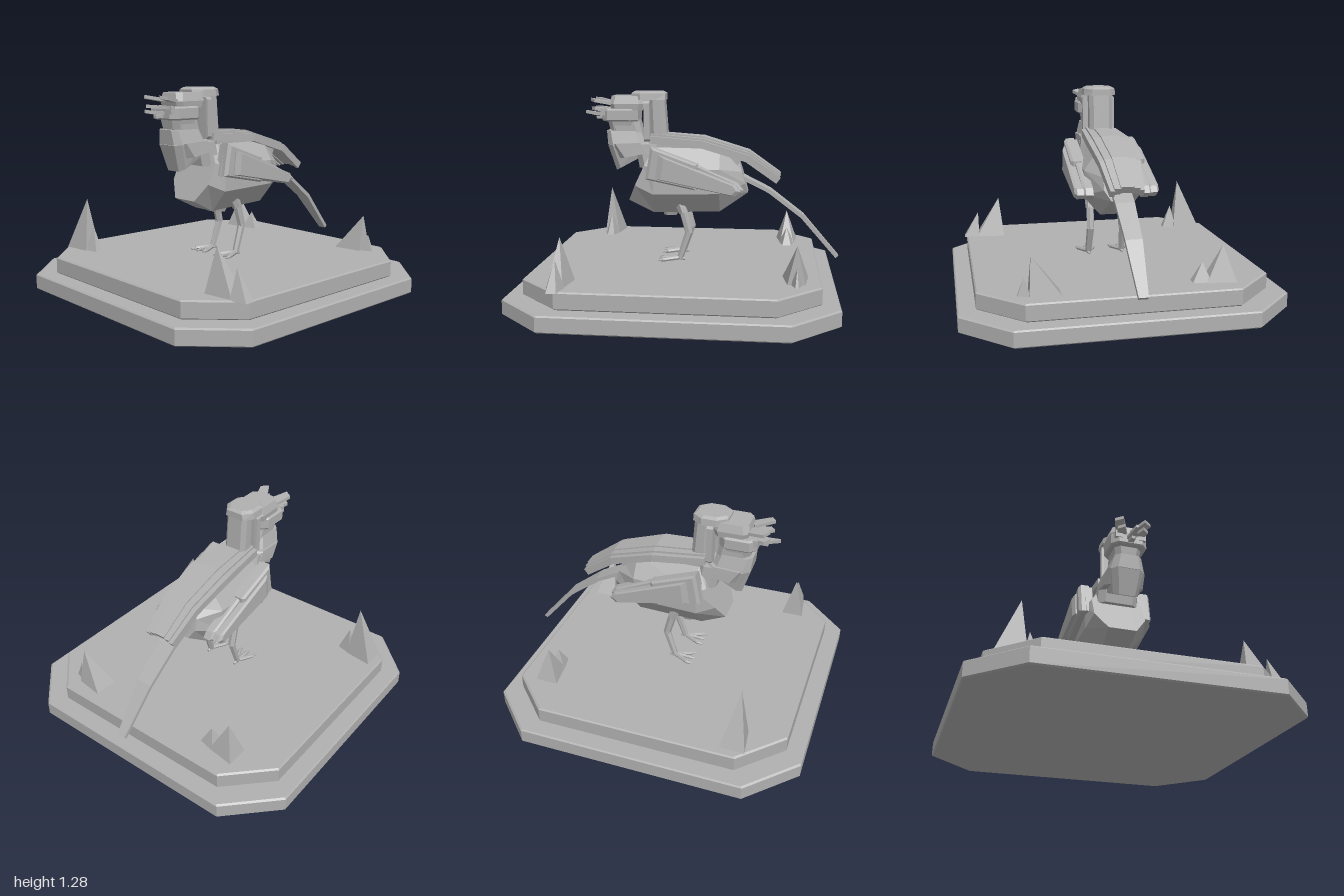
import * as THREE from 'three';

const stone = new THREE.MeshStandardMaterial({ color: 0xb0b0b0 });
stone.name = 'grey stone';

// Closed, faceted solid lofted through rings of [x, y, z] points
function solid(parent, name, rings) {
  const n = rings[0].length, pos = [];
  const V = (p) => new THREE.Vector3(...p);
  const tris = [];
  const add = (a, b, c) => {
    const [A, B, C] = [V(a), V(b), V(c)];
    if (B.clone().sub(A).cross(C.clone().sub(A)).length() > 1e-9) tris.push([A, B, C]);
  };
  for (let i = 0; i < rings.length - 1; i++) {
    for (let j = 0; j < n; j++) {
      const k = (j + 1) % n, r = rings[i], q = rings[i + 1];
      add(r[j], r[k], q[k]);
      add(r[j], q[k], q[j]);
    }
  }
  const end = rings[rings.length - 1];
  for (let j = 1; j < n - 1; j++) {
    add(rings[0][0], rings[0][j + 1], rings[0][j]);
    add(end[0], end[j], end[j + 1]);
  }
  // Turn every face outward, whichever way the rings run
  const o = V(rings[0][0]);
  let vol = 0;
  for (const [a, b, c] of tris) {
    vol += a.clone().sub(o).dot(b.clone().sub(o).cross(c.clone().sub(o)));
  }
  for (const [a, b, c] of tris) {
    for (const p of vol > 0 ? [a, b, c] : [a, c, b]) pos.push(p.x, p.y, p.z);
  }
  const g = new THREE.BufferGeometry();
  g.setAttribute('position', new THREE.Float32BufferAttribute(pos, 3));
  g.computeVertexNormals();
  const m = new THREE.Mesh(g, stone);
  m.name = name;
  parent.add(m);
  return m;
}

// Horizontal ring with cut corners; tilt raises it along z
function plan(y, w, z0, z1, cx, cz = cx, tilt = 0) {
  const zm = (z0 + z1) / 2;
  return [[w - cx, z1], [w, z1 - cz], [w, z0 + cz], [w - cx, z0],
    [cx - w, z0], [-w, z0 + cz], [-w, z1 - cz], [cx - w, z1]]
    .map(([x, z]) => [x, y + tilt * (z - zm), z]);
}

// Upright eight-sided body section, leaning from zB at the bottom to zT at the top
function section(zT, zB, yT, yB, w, wt, wb) {
  const h = yT - yB;
  return [[wt, 1], [w, 0.7], [w, 0.32], [wb, 0], [-wb, 0], [-w, 0.32], [-w, 0.7], [-wt, 1]]
    .map(([x, t]) => [x, yB + h * t, zB + (zT - zB) * t]);
}

// Flat strip along [z, y, xInner, xOuter] stations, t thick
function strip(parent, name, pts, t) {
  const rings = pts.map(([z, y, x0, x1], i) => {
    const a = pts[Math.max(i - 1, 0)], b = pts[Math.min(i + 1, pts.length - 1)];
    const l = Math.hypot(b[0] - a[0], b[1] - a[1]);
    const nz = (b[1] - a[1]) / l * t / 2, ny = -(b[0] - a[0]) / l * t / 2;
    return [[x0, y + ny, z + nz], [x1, y + ny, z + nz], [x1, y - ny, z - nz], [x0, y - ny, z - nz]];
  });
  return solid(parent, name, rings);
}

// Side outline of [z, y] points extruded in x, with a bevelled outer face
function slab(parent, name, outline, x0, x1, bevel, s) {
  const c = outline.reduce((a, p) => [a[0] + p[0] / outline.length, a[1] + p[1] / outline.length], [0, 0]);
  const ring = (x, k) => outline.map(([z, y]) => [s * x, c[1] + (y - c[1]) * k, c[0] + (z - c[0]) * k]);
  return solid(parent, name, [ring(x0, 1), ring(x1 - bevel, 1), ring(x1, 0.88)]);
}

// Six-sided limb through [x, y, z, radius] joints
function limb(parent, name, joints) {
  for (let i = 0; i < joints.length - 1; i++) {
    const a = new THREE.Vector3(...joints[i].slice(0, 3));
    const b = new THREE.Vector3(...joints[i + 1].slice(0, 3));
    const g = new THREE.CylinderGeometry(joints[i + 1][3], joints[i][3], a.distanceTo(b) + 0.01, 6).toNonIndexed();
    g.computeVertexNormals();
    const m = new THREE.Mesh(g, stone);
    m.name = name;
    m.position.copy(a).lerp(b, 0.5);
    m.quaternion.setFromUnitVectors(new THREE.Vector3(0, 1, 0), b.sub(a).normalize());
    parent.add(m);
  }
}

function group(parent, name) {
  const g = new THREE.Group();
  g.name = name;
  parent.add(g);
  return g;
}

export function createModel() {
  const root = new THREE.Group();
  root.name = 'bird on plinth';

  // Two-step plinth with cut corners
  const plinth = group(root, 'plinth');
  const step = (name, y0, y1, w, z0, z1, c) => solid(plinth, name, [[y0, 0.008], [y0 + 0.008, 0], [y1 - 0.008, 0], [y1, 0.008]]
    .map(([y, b]) => plan(y, w - b, z0 + b, z1 - b, c)));
  step('lowerStep', 0, 0.1, 0.975, -0.965, 0.99, 0.28);
  step('upperStep', 0.1, 0.205, 0.87, -0.86, 0.885, 0.252);

  // Rock spikes: base x0, x1, z0, z1, then apex x, y, z
  const rocks = group(root, 'rocks');
  [[-0.82, -0.635, 0.525, 0.68, -0.675, 0.54, 0.61], [-0.655, -0.56, 0.55, 0.65, -0.62, 0.36, 0.6],
    [-0.626, -0.45, -0.75, -0.605, -0.56, 0.415, -0.675], [-0.48, -0.37, -0.73, -0.62, -0.435, 0.32, -0.675],
    [0.4, 0.585, -0.79, -0.635, 0.57, 0.43, -0.715], [0.575, 0.65, -0.75, -0.68, 0.61, 0.31, -0.715],
    [0.61, 0.8, 0.57, 0.715, 0.64, 0.465, 0.65], [0.785, 0.885, 0.585, 0.695, 0.787, 0.37, 0.64],
  ].forEach(([x0, x1, z0, z1, ax, ay, az]) => {
    const base = [[x0, 0.2, z0], [x1, 0.2, z0 + 0.025], [x1, 0.2, z1 - 0.025], [x0, 0.2, z1]];
    solid(rocks, 'spike', [base, base.map(() => [ax, ay, az])]);
  });

  // Body
  const body = group(root, 'body');
  solid(body, 'torso', [
    section(0.185, 0.34, 0.92, 0.59, 0.165, 0.075, 0.09),
    section(0.16, 0.18, 0.93, 0.51, 0.19, 0.1, 0.08),
    section(-0.24, -0.24, 0.925, 0.525, 0.18, 0.1, 0.08),
    section(-0.36, -0.415, 0.84, 0.645, 0.09, 0.05, 0.05)]);
  solid(body, 'keel', [plan(0.6, 0.1, 0, 0.14, 0.03), plan(0.49, 0.065, 0.04, 0.12, 0.02)]);
  solid(body, 'shoulders', [plan(0.8, 0.13, 0.12, 0.27, 0.04), plan(0.95, 0.12, 0.16, 0.3, 0.04)]);

  // Tail reaching down to the plinth
  strip(body, 'tail', [[-0.36, 0.75, -0.06, 0.06], [-0.55, 0.655, -0.058, 0.058],
    [-0.76, 0.495, -0.05, 0.05], [-0.985, 0.235, -0.028, 0.028]], 0.024);

  // Mantle of long feathers over the back
  const mantle = group(root, 'mantle');
  const spine = [[0.2, 0.99, 0.115], [-0.13, 0.965, 0.14], [-0.41, 0.88, 0.125], [-0.605, 0.742, 0.1]];
  strip(mantle, 'centreFeather', spine.map(([z, y, w]) => [z, y + 0.008, -w * 0.4, w * 0.4]), 0.05);
  for (const s of [1, -1]) {
    strip(mantle, 'middleFeather', spine.map(([z, y, w]) => [z, y, s * w * 0.38, s * w * 0.76]), 0.048);
    strip(mantle, 'outerFeather', spine.map(([z, y, w]) => [z, y - 0.012, s * w * 0.72, s * w]), 0.046);
  }
  strip(mantle, 'backPad', [[0.16, 0.95, -0.1, 0.1], [-0.12, 0.93, -0.1, 0.1], [-0.36, 0.84, -0.08, 0.08]], 0.06);

  // Neck rings and bib
  const neck = group(root, 'neck');
  solid(neck, 'bib', [plan(0.83, 0.08, 0.23, 0.425, 0.03, 0.03, -0.55), plan(0.95, 0.105, 0.23, 0.475, 0.035, 0.035, -0.1)]);
  solid(neck, 'lowerCollar', [plan(0.88, 0.125, 0.17, 0.4, 0.04, 0.04, -0.2), plan(0.955, 0.12, 0.22, 0.46, 0.04, 0.04, -0.05)]);
  solid(neck, 'upperCollar', [plan(0.94, 0.11, 0.23, 0.475, 0.04), plan(1.03, 0.085, 0.27, 0.485, 0.03)]);
  solid(neck, 'throat', [plan(0.95, 0.08, 0.24, 0.44, 0.03), plan(1.1, 0.08, 0.28, 0.465, 0.03)]);

  // Head blocks
  const head = group(root, 'head');
  solid(head, 'jaw', [plan(1.035, 0.075, 0.3, 0.465, 0.03), plan(1.09, 0.085, 0.29, 0.475, 0.03)]);
  solid(head, 'cheeks', [plan(1.09, 0.105, 0.285, 0.5, 0.035), plan(1.1, 0.115, 0.28, 0.51, 0.04),
    plan(1.16, 0.115, 0.28, 0.51, 0.04), plan(1.17, 0.105, 0.29, 0.5, 0.035)]);
  solid(head, 'skull', [plan(1.16, 0.1, 0.25, 0.45, 0.03), plan(1.2, 0.105, 0.24, 0.46, 0.03), plan(1.25, 0.09, 0.25, 0.45, 0.03)]);
  strip(head, 'upperBeak', [[0.48, 1.13, -0.03, 0.03], [0.57, 1.135, -0.02, 0.02], [0.63, 1.145, -0.006, 0.006]], 0.02);
  strip(head, 'lowerBeak', [[0.48, 1.115, -0.022, 0.022], [0.56, 1.11, -0.012, 0.012]], 0.018);

  // Brow plates and eyes
  for (const s of [1, -1]) {
    const brow = (y, t, k) => [[0.01, 0.47], [0.07, 0.58], [0.115, 0.55], [0.07, 0.42]]
      .map(([x, z]) => [s * x * k, y + t * (z - 0.47), z]);
    solid(head, 'brow', [brow(1.195, 0.2, 1), brow(1.215, 0.2, 1)]);
    solid(head, 'lowerBrow', [brow(1.15, 0.1, 0.85), brow(1.17, 0.1, 0.85)]);
    const eye = new THREE.Mesh(new THREE.BoxGeometry(0.045, 0.045, 0.03), stone);
    eye.name = 'eye';
    eye.position.set(s * 0.075, 1.15, 0.5);
    head.add(eye);
  }

  // Crest: cap on the head and a column down to the mantle
  const crest = group(root, 'crest');
  solid(crest, 'cap', [plan(1.225, 0.105, 0.11, 0.32, 0.04, 0.06), plan(1.265, 0.1, 0.11, 0.325, 0.045, 0.06),
    plan(1.278, 0.08, 0.13, 0.31, 0.04, 0.05)]);
  solid(crest, 'column', [plan(1.0, 0.075, 0.1, 0.205, 0.025), plan(1.26, 0.075, 0.12, 0.215, 0.025)]);
  for (const s of [1, -1]) {
    slab(crest, 'sideFeather', [[0.245, 1.22], [0.205, 1.22], [0.2, 0.965], [0.24, 0.965]], 0.04, 0.105, 0.015, s);
  }

  // Folded wings and legs, mirrored
  for (const s of [1, -1]) {
    const wing = group(root, s > 0 ? 'leftWing' : 'rightWing');
    slab(wing, 'innerWing', [[0.18, 0.935], [-0.1, 0.835], [-0.36, 0.72], [-0.39, 0.68], [-0.34, 0.645], [0.22, 0.745]], 0.15, 0.21, 0.015, s);
    slab(wing, 'forewing', [[0.18, 0.945], [-0.11, 0.84], [-0.1, 0.68], [0.215, 0.745]], 0.17, 0.238, 0.015, s);
    slab(wing, 'flightFeather', [[0.13, 0.9], [-0.35, 0.715], [-0.375, 0.68], [-0.34, 0.65], [0.15, 0.75]], 0.205, 0.26, 0.015, s);

    const leg = group(root, s > 0 ? 'leftLeg' : 'rightLeg');
    limb(leg, 'thigh', [[s * 0.09, 0.6, 0.02, 0.04], [s * 0.1, 0.52, -0.01, 0.03]]);
    limb(leg, 'shin', [[s * 0.1, 0.54, -0.005, 0.027], [s * 0.105, 0.39, -0.045, 0.024], [s * 0.11, 0.225, 0.01, 0.02]]);
    for (const dx of [-0.05, 0, 0.05]) {
      limb(leg, 'toe', [[s * 0.11, 0.225, 0.01, 0.014], [s * 0.11 + dx, 0.22, 0.11, 0.013], [s * 0.11 + dx * 1.1, 0.217, 0.14, 0.006]]);
    }
    limb(leg, 'backToe', [[s * 0.11, 0.225, 0.01, 0.014], [s * 0.11, 0.217, -0.02, 0.008]]);
  }
  return root;
}
